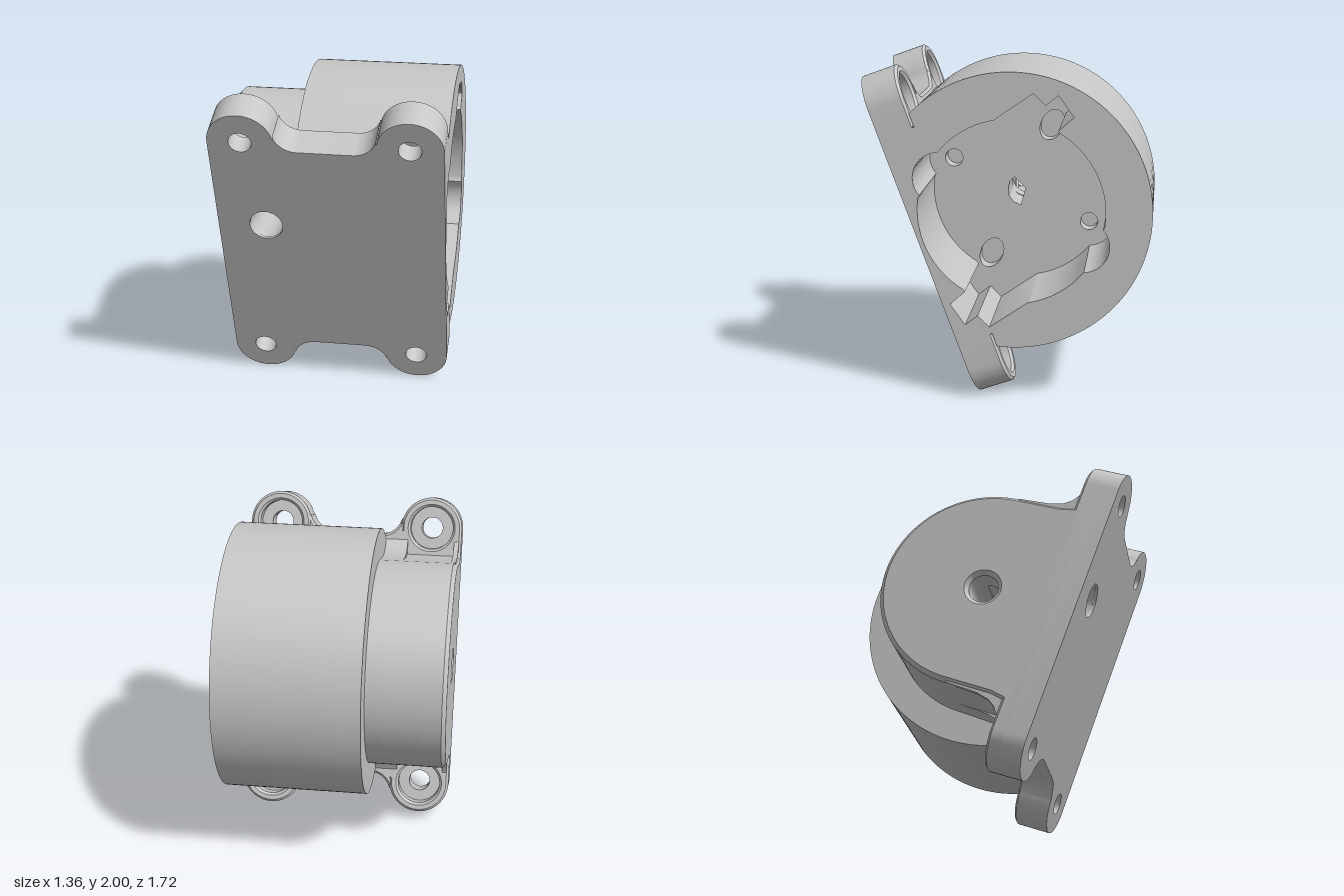
import * as THREE from 'three';
import { toCreasedNormals } from 'three/addons/utils/BufferGeometryUtils.js';

const TILT = Math.PI / 9;
const rad = THREE.MathUtils.degToRad;
const P = (x, y) => new THREE.Vector2(x, y);

// points along an arc, angles in degrees
function arc(cx, cy, r, a0, a1, n = 24) {
  return Array.from({ length: n + 1 }, (_, i) => {
    const a = rad(a0 + (a1 - a0) * i / n);
    return P(cx + r * Math.cos(a), cy + r * Math.sin(a));
  });
}

function ellipse(cx, cy, rx, ry = rx, turn = 0) {
  return new THREE.Path().absellipse(cx, cy, rx, ry, 0, Math.PI * 2, true, turn);
}

// outlines run counter-clockwise so that the hole walls face inwards
function extrude(points, holes, depth, bevel = 0) {
  const ccw = THREE.ShapeUtils.isClockWise(points) ? [...points].reverse() : points;
  const shape = new THREE.Shape(ccw);
  shape.holes.push(...holes);
  const geo = new THREE.ExtrudeGeometry(shape, {
    depth: depth - 2 * bevel, curveSegments: 32, bevelEnabled: bevel > 0,
    bevelThickness: bevel, bevelSize: bevel, bevelOffset: -bevel, bevelSegments: 1,
  });
  geo.translate(0, 0, bevel);
  return toCreasedNormals(geo, 0.5);
}

export function createModel() {
  const grey = new THREE.MeshStandardMaterial({ color: 0xc6c6c6 });
  grey.name = 'grey';
  const model = new THREE.Group();
  model.name = 'motorMount';
  const body = new THREE.Group();
  body.name = 'body';
  body.position.set(0, 1.163, -0.035);
  model.add(body);

  const add = (parent, name, geo) => {
    const mesh = new THREE.Mesh(geo, grey);
    mesh.name = name;
    parent.add(mesh);
  };
  // slice of the housing between two x positions, profile seen from the +x side
  const slice = (name, points, holes, x0, x1, bevel) => {
    const geo = extrude(points, holes, x1 - x0, bevel);
    geo.rotateY(Math.PI / 2).translate(x0, 0, 0);
    add(body, name, geo);
  };
  // plate coordinates (outward w, upward v) to the housing profile
  const s = Math.sin(TILT), c = Math.cos(TILT);
  const fromPlate = (p) => P(-(p.x * c + p.y * s), -p.x * s + p.y * c);

  // drum profile, squared off where it joins the plate
  const drum = [
    ...arc(0, 0, 0.827, 64.1, 295.9, 90),
    P(0.36, -0.66), P(0.565, -0.66), P(0.565, 0.66), P(0.36, 0.66),
  ].map(fromPlate);

  // motor pocket: half outline repeated by a half turn
  const half = [
    P(-0.10, 0.545), P(0.13, 0.705), P(0.20, 0.635), P(0.275, 0.695),
    P(0.365, 0.57), P(0.275, 0.49),
    ...arc(0, 0, 0.554, 59, -8),
    ...arc(0.425, -0.195, 0.155, 42, -88, 16),
    ...arc(0, 0, 0.554, -46, -78, 12),
  ];
  const pocket = new THREE.Path([...half, ...half.map((p) => P(-p.x, -p.y))]);

  // shaft opening and blind holes in the pocket floor
  const opening = () => new THREE.Path([
    P(0.025, 0.01), P(-0.045, 0.08), P(-0.075, 0.05), P(-0.085, 0),
    P(-0.078, -0.045), P(-0.05, -0.08), P(-0.005, -0.1),
  ]);
  const floorHoles = [opening()];
  for (const k of [1, -1]) {
    floorHoles.push(ellipse(0.425 * k, -0.195 * k, 0.055));
    floorHoles.push(ellipse(0.19 * k, 0.415 * k, 0.1, 0.07, rad(65)));
  }
  slice('drumBack', drum, [opening()], -0.2, -0.05);
  slice('drumFloor', drum, floorHoles, -0.05, 0.05);
  slice('drumWall', drum, [pocket], 0.05, 0.68);

  // smaller D-shaped boss with chamfered end, shaft bore and a cross channel
  const boss = [
    ...arc(0, 0, 0.635, 90, 270, 64),
    P(0.28, -0.642), P(0.42, -0.67), P(0.42, 0.67), P(0.28, 0.642),
  ].map(fromPlate);
  const channel = [
    P(-(0.42 - 0.1 * s) / c, -0.1), P(0, -0.1),
    ...arc(0, 0, 0.09, -90, 90), P(0, 0.1), P(-(0.42 + 0.1 * s) / c, 0.1),
  ];
  const channelled = [...boss.slice(0, -2), ...channel, ...boss.slice(-2)];
  slice('shaftBossEnd', boss, [ellipse(0, 0, 0.09)], -0.68, -0.495, 0.025);
  slice('shaftBossMiddle', channelled, [], -0.52, -0.29);
  slice('shaftBossRoot', boss, [ellipse(0, 0, 0.09)], -0.29, -0.18);

  // flares joining the boss to the plate on both sides of the ear recesses
  for (const k of [1, -1]) {
    const flare = [
      P(0, 0.6), P(0, 0.635), P(0.2, 0.648), P(0.28, 0.67),
      P(0.33, 0.705), P(0.37, 0.765), P(0.37, 0.6),
    ].map((p) => fromPlate(P(p.x, p.y * k)));
    slice('bossFlare', flare, [], -0.665, -0.635);
    slice('bossFlare', flare, [], -0.34, -0.19);
  }

  // round cross hole, trimmed to the slope of the plate
  const liner = extrude(arc(-0.39, 0, 0.106, 0, 350, 35), [ellipse(-0.39, 0, 0.1)], 1);
  const pos = liner.attributes.position;
  for (let i = 0; i < pos.count; i++) {
    pos.setZ(i, pos.getZ(i) > 0.5 ? (0.566 + pos.getY(i) * s) / c : 0.07);
  }
  add(body, 'crossHole', liner);

  // tilted mounting plate with four rounded ears
  const plate = new THREE.Group();
  plate.name = 'mountingPlate';
  plate.rotation.x = TILT;
  body.add(plate);
  const EX = 0.487, EY = 0.831, R = 0.193;
  const topEdge = [
    ...arc(EX, EY, R, 0, 195),
    ...arc(0.16, 0.919, 0.14, 345, 270, 14),
    ...arc(-0.16, 0.919, 0.14, 270, 195, 14),
    ...arc(-EX, EY, R, -15, 180),
  ];
  const bottomEdge = topEdge.map((p) => P(-p.x, -p.y));
  const outline = [...topEdge, ...bottomEdge];
  // the back layers leave room for the drum
  const notched = [...outline, P(0.68, -0.66), P(-0.2, -0.66), P(-0.2, 0.66), P(0.68, 0.66)];

  const layer = (name, points, earRadius, crossHole, w0, w1, bevel) => {
    const holes = [crossHole];
    for (const x of [-EX, EX]) for (const y of [-EY, EY]) holes.push(ellipse(x, y, earRadius));
    add(plate, name, extrude(points, holes, w1 - w0, bevel).translate(0, 0, w0));
  };
  layer('plateFace', outline, 0.067, ellipse(-0.39, 0.209, 0.1, 0.106), 0.565, 0.582);
  layer('plateCore', notched, 0.067, ellipse(-0.39, 0.17, 0.104, 0.16), 0.45, 0.565);
  layer('plateCounterbores', notched, 0.135, ellipse(-0.39, 0.17, 0.104, 0.16), 0.36, 0.465, 0.015);

  return model;
}
